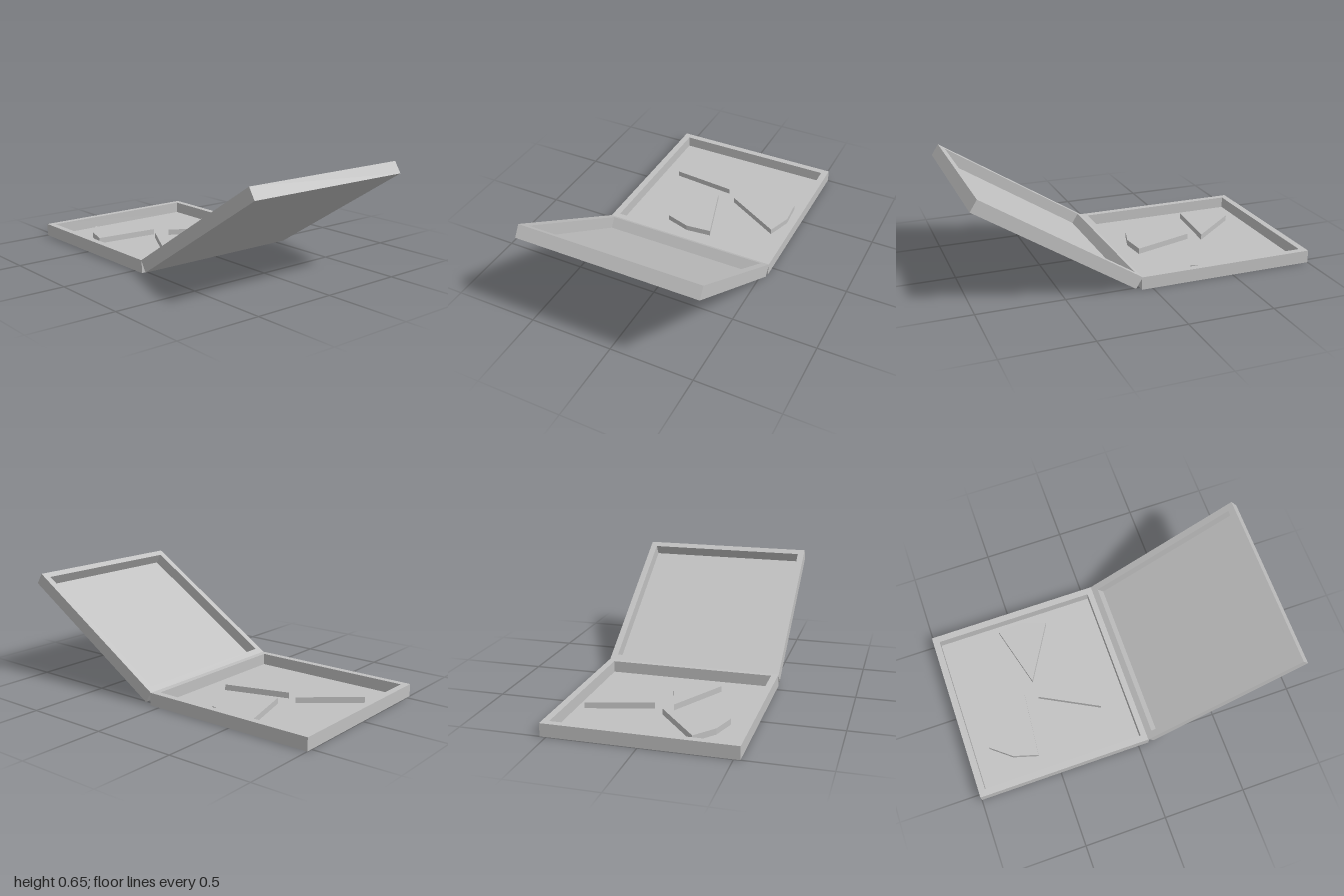
import * as THREE from 'three';

const LENGTH = 1.065, WIDTH = 1.07, HEIGHT = 0.075, WALL = 0.04, FLOOR = 0.006;

// Rectangle as a path centred on z, running along x
function rect(path, x0, x1, halfZ) {
  path.moveTo(x0, -halfZ);
  path.lineTo(x1, -halfZ);
  path.lineTo(x1, halfZ);
  path.lineTo(x0, halfZ);
  path.closePath();
  return path;
}

// Extrude a shape drawn in (x, z) between two heights
function slab(shape, y0, y1) {
  const geo = new THREE.ExtrudeGeometry(shape, { depth: y1 - y0, bevelEnabled: false });
  geo.rotateX(Math.PI / 2);
  geo.translate(0, y1, 0);
  return geo;
}

// Open shallow tray: rim wall around a thin floor, x from 0 to LENGTH
function makeTray(name, material) {
  const tray = new THREE.Group();
  tray.name = name;
  const outline = rect(new THREE.Shape(), 0, LENGTH, WIDTH / 2);
  outline.holes.push(rect(new THREE.Path(), WALL, LENGTH - WALL, WIDTH / 2 - WALL));
  const rim = new THREE.Mesh(slab(outline, 0, HEIGHT), material);
  rim.name = name + 'Rim';
  const floorShape = rect(new THREE.Shape(), WALL, LENGTH - WALL, WIDTH / 2 - WALL);
  const floor = new THREE.Mesh(slab(floorShape, 0, FLOOR), material);
  floor.name = name + 'Floor';
  tray.add(rim, floor);
  return tray;
}

// 45 degree wedge with a two-segment outer edge, pointing at its apex
function makeWedge(x, z, startDeg, material) {
  const shape = new THREE.Shape();
  shape.moveTo(x, z);
  for (let i = 0; i <= 2; i++) {
    const a = THREE.MathUtils.degToRad(startDeg + i * 22.6);
    shape.lineTo(x + 0.396 * Math.cos(a), z + 0.396 * Math.sin(a));
  }
  shape.closePath();
  return new THREE.Mesh(slab(shape, FLOOR, 0.041), material);
}

export function createModel() {
  const grey = new THREE.MeshStandardMaterial({ color: 0xc0c0c0 });
  grey.name = 'light grey';
  const model = new THREE.Group();
  model.name = 'hingedBox';

  // Base tray lying flat
  const base = makeTray('base', grey);
  base.position.x = -1;
  model.add(base);

  // Lid tray swung open about the shared top edge
  const lid = makeTray('lid', grey);
  for (const part of lid.children) part.position.y = -HEIGHT;
  lid.position.set(0.061, HEIGHT, 0);
  lid.rotation.z = THREE.MathUtils.degToRad(32.4);
  model.add(lid);

  // Three wedges resting on the base floor
  const wedges = [[-0.487, -0.067, 255], [-0.485, 0.044, -17], [-0.56, 0, 95.2]];
  wedges.forEach(([x, z, start], i) => {
    const wedge = makeWedge(x, z, start, grey);
    wedge.name = 'wedge' + (i + 1);
    model.add(wedge);
  });
  return model;
}
